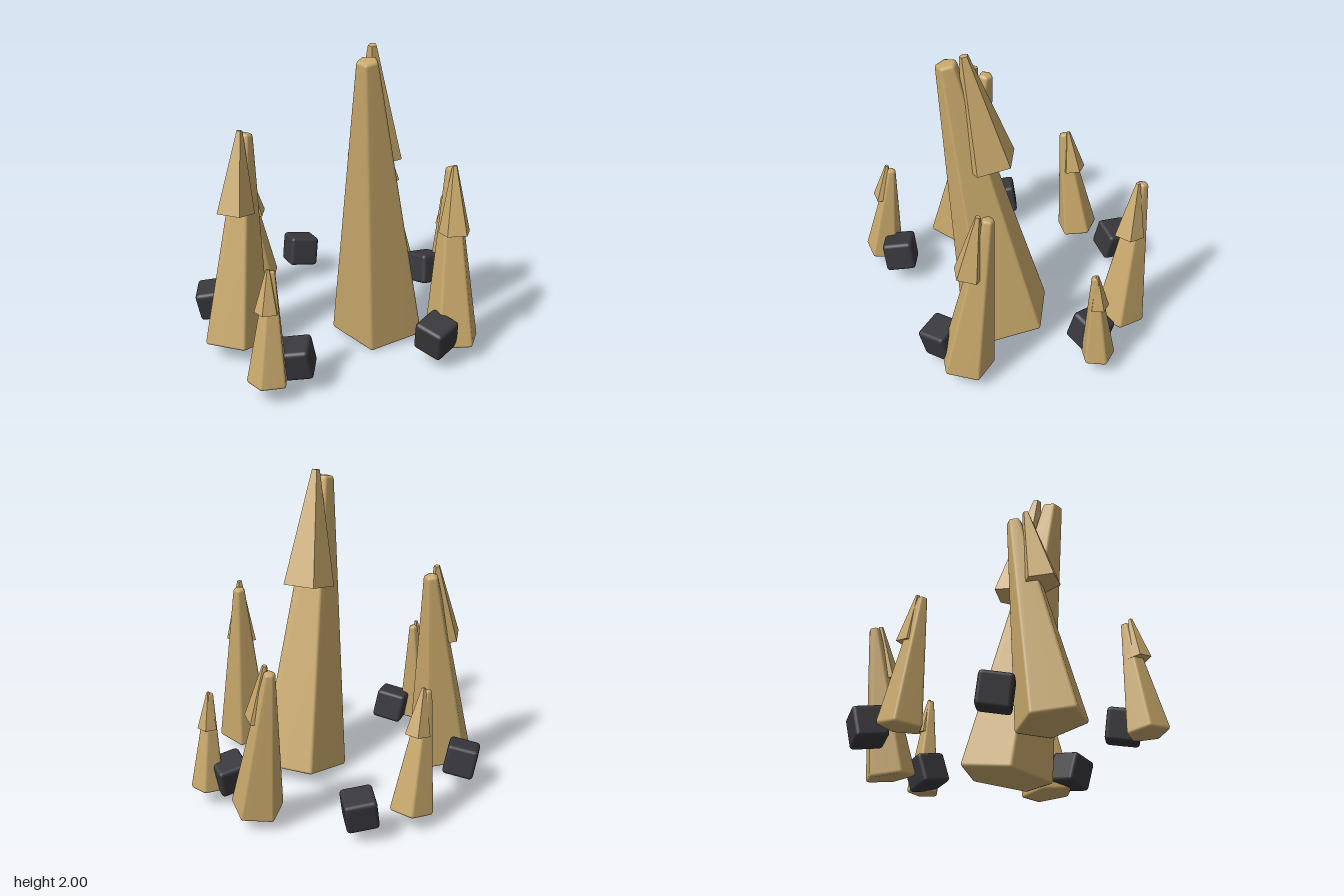
import * as THREE from 'three';
import { mergeVertices } from 'three/addons/utils/BufferGeometryUtils.js';
import { RoundedBoxGeometry } from 'three/addons/geometries/RoundedBoxGeometry.js';

const SIDES = 5, ARC = 3, BEVEL = 0.02;
const UP = new THREE.Vector3(0, 1, 0);

// Closed five-sided tapering column with rounded edges, base at y = 0
function roundedSpire(R, r, h, turn) {
  const pos = [], index = [];
  const half = Math.PI / SIDES, n = SIDES * (ARC + 1), rings = [];
  const addRing = (radius, b, t, y) => {
    for (let s = 0; s < SIDES; s++) {
      const a = turn + s * 2 * half, d = radius - b / Math.cos(half);
      for (let k = 0; k <= ARC; k++) {
        const q = a + (k / ARC * 2 - 1) * half, w = b * Math.sin(t);
        pos.push(d * Math.cos(a) + w * Math.cos(q), y, d * Math.sin(a) + w * Math.sin(q));
      }
    }
    rings.push(y);
  };
  const bt = Math.min(BEVEL, r * 0.4);
  for (let k = 0; k <= 2; k++) {
    const t = k * Math.PI / 4;
    addRing(R, BEVEL, t, BEVEL * (1 - Math.cos(t)));
  }
  for (let k = 2; k >= 0; k--) {
    const t = k * Math.PI / 4;
    addRing(r, bt, t, h - bt * (1 - Math.cos(t)));
  }
  const last = (rings.length - 1) * n, bottom = rings.length * n, top = bottom + 1;
  pos.push(0, 0, 0, 0, h, 0);
  for (let i = 0; i < n; i++) {
    const j = (i + 1) % n;
    for (let k = 0; k < rings.length - 1; k++) {
      const a = k * n + i, b = k * n + j;
      index.push(a, a + n, b, b, a + n, b + n);
    }
    index.push(bottom, i, j, top, last + j, last + i);
  }
  const g = new THREE.BufferGeometry();
  g.setAttribute('position', new THREE.Float32BufferAttribute(pos, 3));
  g.setIndex(index);
  const merged = mergeVertices(g, 1e-5);
  merged.computeVertexNormals();
  return merged;
}

// Sharp-edged five-sided shard
function sharpShard(R, r, h, turn) {
  const g = new THREE.CylinderGeometry(r, R, h, SIDES, 1, false, Math.PI / 2 - turn)
    .translate(0, h / 2, 0).toNonIndexed();
  g.computeVertexNormals();
  return g;
}

// Stands a column between two points
function between(name, from, to, R, r, degrees, build, material) {
  const a = new THREE.Vector3(...from), axis = new THREE.Vector3(...to).sub(a);
  const mesh = new THREE.Mesh(build(R, r, axis.length(), THREE.MathUtils.degToRad(degrees)), material);
  mesh.name = name;
  mesh.position.copy(a);
  mesh.quaternion.setFromUnitVectors(UP, axis.normalize());
  return mesh;
}

export function createModel() {
  const sandstone = new THREE.MeshStandardMaterial({ color: 0xc8a86b });
  sandstone.name = 'sandstone';
  const darkStone = new THREE.MeshStandardMaterial({ color: 0x38373c });
  darkStone.name = 'dark stone';
  const model = new THREE.Group();
  model.name = 'rockSpires';

  // Spires: base centre, tip centre, base radius, turn, shard base, shard tip
  const spires = [
    ['tallSpire', [0.163, 0.06, 0.196], [-0.115, 1.94, 0.405], 0.305, -7, [0.077, 1.285, 0.25], [-0.03, 2.0, 0.34]],
    ['leftSpire', [-0.733, 0.085, -0.135], [-0.545, 1.405, -0.245], 0.22, 180, [-0.69, 0.945, -0.165], [-0.61, 1.445, -0.205]],
    ['frontSpire', [0.357, 0.085, 0.695], [0.425, 1.21, 0.555], 0.18, 86, [0.373, 0.82, 0.665], [0.4, 1.24, 0.61]],
    ['backRightSpire', [0.68, 0.1, -0.32], [0.65, 1.075, -0.498], 0.17, 40, [0.67, 0.74, -0.382], [0.658, 1.1, -0.445]],
    ['backSpire', [-0.157, 0.1, -0.751], [-0.275, 0.87, -0.703], 0.142, 9, [-0.198, 0.605, -0.732], [-0.242, 0.893, -0.715]],
    ['farLeftSpire', [-0.865, 0.105, 0.445], [-0.79, 0.8, 0.385], 0.132, 0, [-0.848, 0.565, 0.422], [-0.82, 0.825, 0.4]],
    ['farRightSpire', [0.865, 0.105, 0.045], [0.825, 0.745, 0.062], 0.112, 14, [0.852, 0.52, 0.047], [0.836, 0.757, 0.057]],
  ];
  for (const [name, base, tip, R, turn, shardBase, shardTip] of spires) {
    const group = new THREE.Group();
    group.name = name;
    group.add(
      between('column', base, tip, R, R * 0.235, turn, roundedSpire, sandstone),
      between('shard', shardBase, shardTip, R * 0.57, R * 0.088, turn, sharpShard, sandstone),
    );
    model.add(group);
  }

  // Tumbled stones: position and tilt in degrees
  const stoneShape = new RoundedBoxGeometry(0.2, 0.2, 0.2, 2, 0.024);
  const stones = [
    [-0.68, -0.48, 8, -37, 10],
    [0.2, -0.76, -9, -16, -8],
    [0.738, -0.012, -12, 2, -10],
    [-0.665, 0.445, 8, -42, 10],
    [0.18, 0.742, 10, 14, 10],
  ];
  stones.forEach(([x, z, rx, ry, rz], i) => {
    const stone = new THREE.Mesh(stoneShape, darkStone);
    stone.name = `stone${i + 1}`;
    stone.position.set(x, 0.208, z);
    stone.rotation.set(...[rx, ry, rz].map(THREE.MathUtils.degToRad), 'YXZ');
    model.add(stone);
  });
  return model;
}
